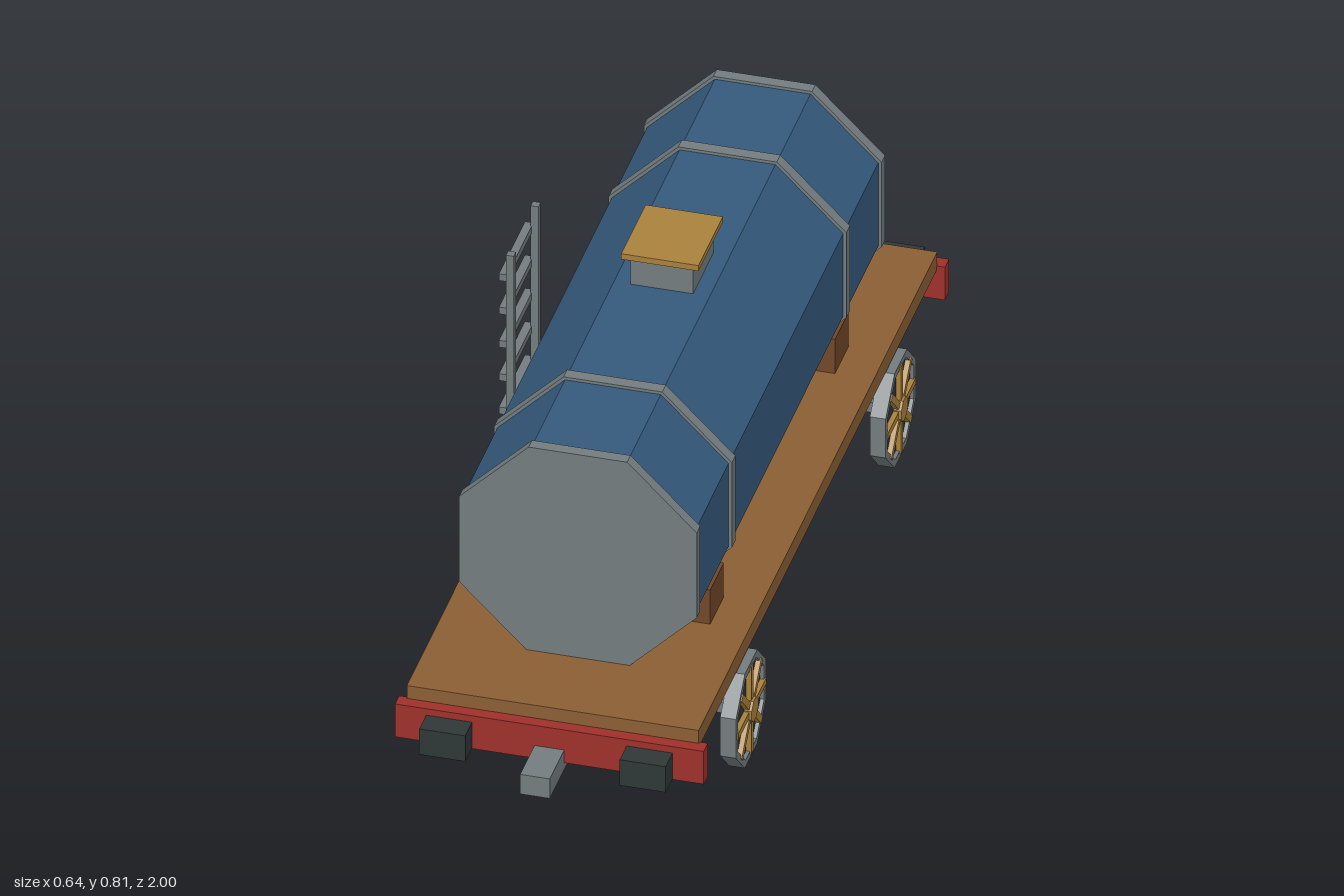
import * as THREE from 'three';

const mat = (name, color) => {
  const m = new THREE.MeshStandardMaterial({ color });
  m.name = name;
  return m;
};

export function createModel() {
  const steel = mat('steel grey', 0x737c7f);
  const blue = mat('tank blue', 0x35597c);
  const wood = mat('deck wood', 0x8b5e34);
  const darkWood = mat('saddle wood', 0x704729);
  const red = mat('beam red', 0x9e302b);
  const iron = mat('dark iron', 0x2e3836);
  const brass = mat('brass', 0xa9813b);

  const model = new THREE.Group();
  model.name = 'tankWagon';
  // Everything sits slightly to +x because the ladder hangs over the -x side
  const wagon = new THREE.Group();
  wagon.name = 'wagon';
  wagon.position.x = 0.003;
  model.add(wagon);

  const add = (parent, name, geometry, material, x = 0, y = 0, z = 0) => {
    const mesh = new THREE.Mesh(geometry, material);
    mesh.name = name;
    mesh.position.set(x, y, z);
    parent.add(mesh);
    return mesh;
  };
  // Box given by its limits on each axis
  const box = (parent, name, material, [x0, x1], [y0, y1], [z0, z1]) =>
    add(parent, name, new THREE.BoxGeometry(x1 - x0, y1 - y0, z1 - z0), material,
      (x0 + x1) / 2, (y0 + y1) / 2, (z0 + z1) / 2);
  const span = (s, a, b) => (s > 0 ? [a, b] : [-b, -a]);

  // Flat-sided octagonal prism along z, centred, with an optional octagonal hole
  const octPoints = (r) => Array.from({ length: 8 }, (_, i) => {
    const a = (i + 0.5) * Math.PI / 4;
    return new THREE.Vector2(r * Math.cos(a), r * Math.sin(a));
  });
  const octagon = (r, depth, hole = 0) => {
    const shape = new THREE.Shape(octPoints(r));
    if (hole) shape.holes.push(new THREE.Path(octPoints(hole)));
    return new THREE.ExtrudeGeometry(shape, { depth, bevelEnabled: false }).translate(0, 0, -depth / 2);
  };

  // Deck and underframe
  box(wagon, 'deck', wood, [-0.295, 0.295], [0.225, 0.265], [-0.87, 0.87]);
  for (const s of [1, -1]) {
    box(wagon, 'soleBar', iron, span(s, 0.2, 0.232), [0.142, 0.225], [-0.865, 0.865]);
    box(wagon, 'endBeam', red, [-0.312, 0.312], [0.158, 0.235], span(s, 0.865, 0.895));
    box(wagon, 'coupler', steel, [-0.03, 0.03], [0.142, 0.188], span(s, 0.75, 1));
    for (const t of [1, -1]) {
      box(wagon, 'buffer', iron, span(t, 0.156, 0.249), [0.16, 0.22], span(s, 0.89, 0.945));
    }
  }

  // Tank with bands, end caps and saddles
  const tank = new THREE.Group();
  tank.name = 'tank';
  wagon.add(tank);
  add(tank, 'tankBody', octagon(0.253, 1.34), blue, 0, 0.5, 0);
  for (const s of [1, -1]) {
    add(tank, 'endCap', octagon(0.26, 0.025), steel, 0, 0.5, s * 0.674);
    add(tank, 'tankBand', octagon(0.26, 0.026, 0.25), steel, 0, 0.5, s * 0.418);
    box(tank, 'saddle', darkWood, [-0.217, 0.217], [0.265, 0.345], span(s, 0.406, 0.505));
  }

  // Filler hatch and rear chest
  box(wagon, 'hatchNeck', steel, [-0.063, 0.063], [0.72, 0.8], [-0.074, 0.074]);
  box(wagon, 'hatchLid', brass, [-0.078, 0.078], [0.799, 0.812], [-0.089, 0.089]);
  box(wagon, 'rearChest', brass, [-0.032, 0.032], [0.265, 0.375], [-0.762, -0.69]);

  // Ladder on the -x side
  const ladder = new THREE.Group();
  ladder.name = 'ladder';
  ladder.position.z = -0.009;
  wagon.add(ladder);
  for (const s of [1, -1]) {
    box(ladder, 'ladderRail', steel, [-0.311, -0.295], [0.265, 0.767], span(s, 0.082, 0.098));
  }
  for (let i = 0; i < 6; i++) {
    const y = 0.321 + i * 0.078;
    box(ladder, 'ladderRung', steel, [-0.326, -0.309], [y - 0.008, y + 0.008], [-0.095, 0.095]);
  }

  // Spoked wheel built facing z, then turned onto the axle
  const makeWheel = () => {
    const wheel = new THREE.Group();
    wheel.name = 'wheel';
    add(wheel, 'rim', octagon(0.119, 0.032, 0.103), steel);
    add(wheel, 'wheelDisc', octagon(0.105, 0.016), iron);
    add(wheel, 'hub', octagon(0.026, 0.048), brass);
    for (let i = 0; i < 4; i++) {
      const spoke = add(wheel, 'spoke', new THREE.BoxGeometry(0.204, 0.015, 0.037), brass);
      spoke.rotation.z = i * Math.PI / 4;
    }
    wheel.rotation.y = Math.PI / 2;
    return wheel;
  };
  for (const z of [0.546, -0.546]) {
    box(wagon, 'axle', steel, [-0.285, 0.285], [0.098, 0.122], [z - 0.012, z + 0.012]);
    for (const s of [1, -1]) {
      const wheel = makeWheel();
      wheel.position.set(s * 0.295, 0.11, z);
      wagon.add(wheel);
    }
  }
  return model;
}
